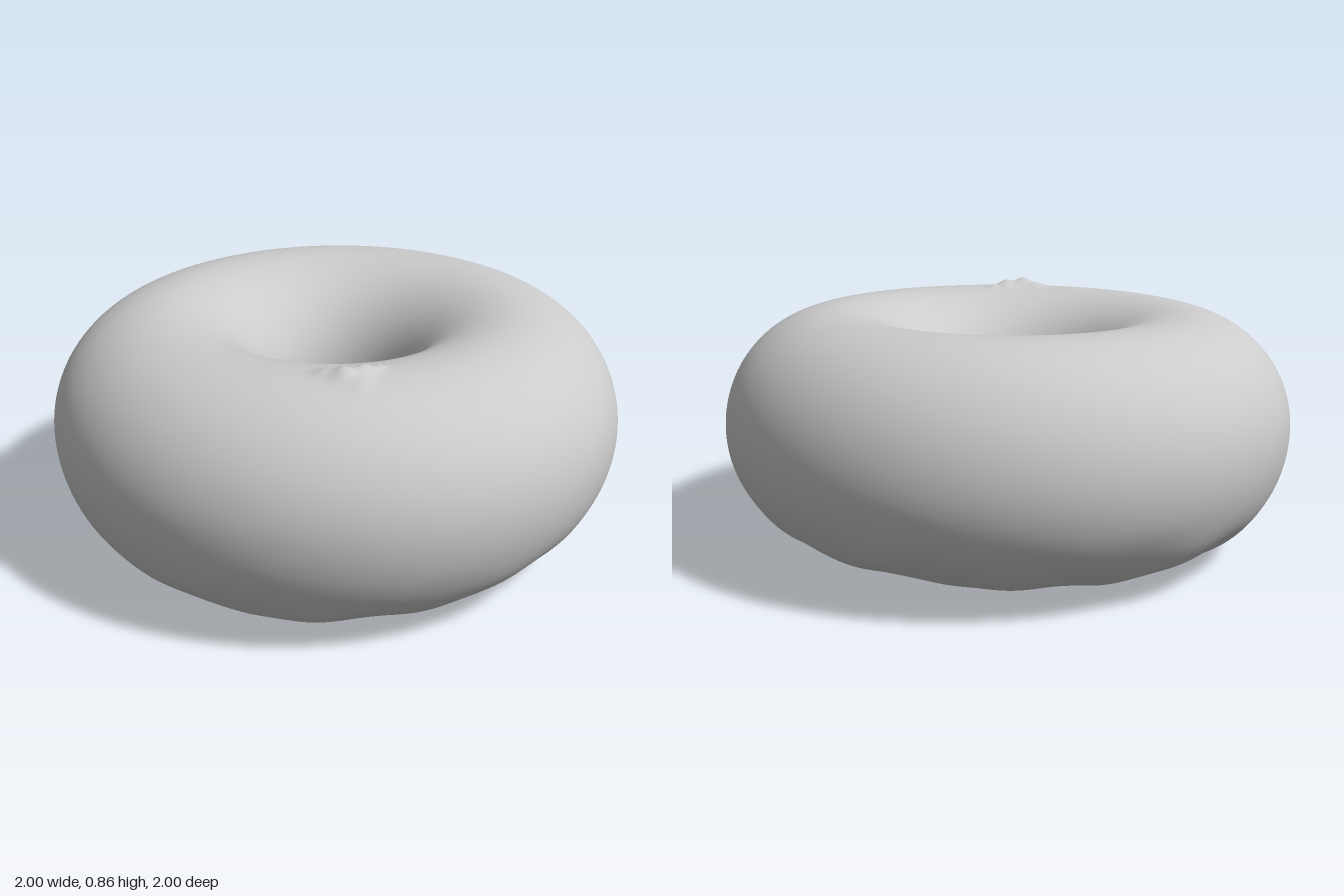
import * as THREE from 'three';
import { mergeVertices } from 'three/addons/utils/BufferGeometryUtils.js';

const R = 0.615, TUBE = 0.385, UPPER = 0.392, LOWER = 0.412;

// small crumb on the top: x, z, height, spread
const CRUMBS = [
  [0.41, 0.48, 0.032, 0.026],
  [0.44, 0.415, 0.026, 0.022],
  [0.35, 0.5, 0.014, 0.022],
  [0.48, 0.49, 0.011, 0.022],
  [0.455, 0.36, 0.012, 0.012],
];

// soft diagonal dents, as a function of the angle round the ring and round the tube
function ripple(a, t) {
  return 0.45 * Math.sin(11 * a + 4 * t) + 0.3 * Math.sin(17 * a - 3 * t + 1.3)
    + 0.35 * Math.sin(5 * a + 6 * t + 2.1);
}

export function createModel() {
  const group = new THREE.Group();

  // ring with a smooth top and an uneven underside
  let geo = new THREE.TorusGeometry(R, TUBE, 128, 256);
  geo.rotateX(-Math.PI / 2);
  geo.deleteAttribute('uv');
  geo.deleteAttribute('normal');
  geo = mergeVertices(geo, 1e-5);

  const p = geo.attributes.position;
  for (let i = 0; i < p.count; i++) {
    const a = Math.atan2(p.getZ(i), p.getX(i));
    const dr = (Math.hypot(p.getX(i), p.getZ(i)) - R) / TUBE;
    const dy = p.getY(i) / TUBE;
    const t = Math.atan2(dy, dr);

    // dents fade in below the middle and stay off the hole wall
    const low = THREE.MathUtils.smoothstep(-dy, 0.3, 0.9);
    const outer = THREE.MathUtils.smoothstep(dr, -0.9, -0.1);
    const k = 1 + 0.022 * low * outer * ripple(a, t);
    const r = R + TUBE * dr * k;
    const x = r * Math.cos(a), z = r * Math.sin(a);

    // the back of the ring sits a little higher than the front
    const tilt = dy > 0 ? -0.01 * z * dy : 0.033 * z * dy;
    let y = dy * (dy > 0 ? UPPER : LOWER) * k + tilt;
    if (dy > 0) {
      for (const [cx, cz, h, s] of CRUMBS) {
        y += h * Math.exp(-((x - cx) ** 2 + (z - cz) ** 2) / (2 * s * s));
      }
    }
    p.setXYZ(i, x, y, z);
  }
  geo.computeBoundingBox();
  geo.translate(0, -geo.boundingBox.min.y, -0.003);
  geo.computeVertexNormals();

  const ring = new THREE.Mesh(geo, new THREE.MeshStandardMaterial({ color: 0xcccccc }));
  ring.name = 'ring';
  group.add(ring);
  return group;
}
